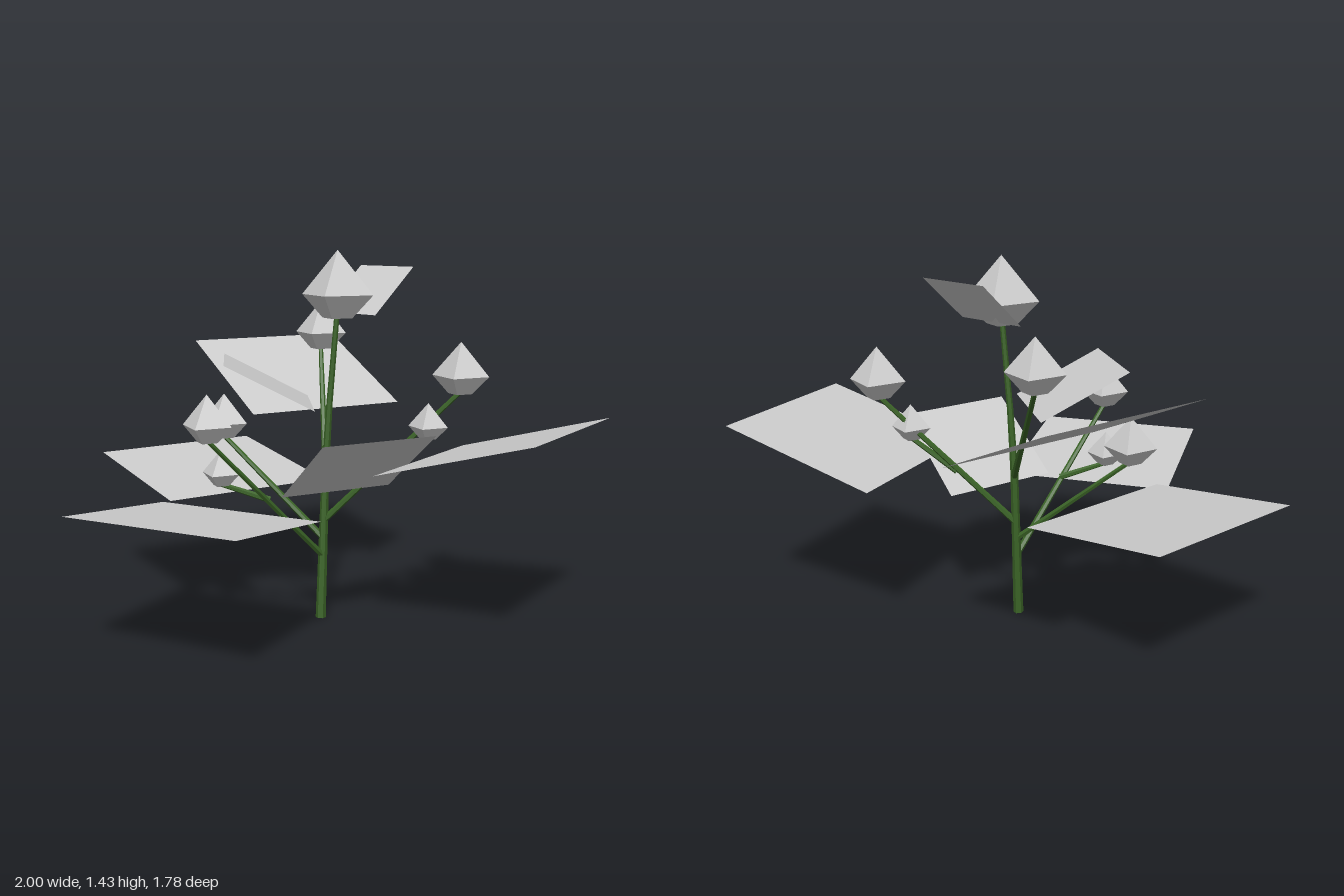
import * as THREE from 'three';

const V = (p) => new THREE.Vector3(...p);

export function createModel() {
  const plant = new THREE.Group();
  plant.name = 'floweringPlant';

  const stemGreen = new THREE.MeshStandardMaterial({ color: 0x3a6326 });
  stemGreen.name = 'stemGreen';
  stemGreen.flatShading = true;
  const paleGrey = new THREE.MeshStandardMaterial({ color: 0xcccccc, side: THREE.DoubleSide });
  paleGrey.name = 'paleGrey';
  paleGrey.flatShading = true;

  const add = (name, geometry, material) => {
    const mesh = new THREE.Mesh(geometry, material);
    mesh.name = name;
    plant.add(mesh);
    return mesh;
  };

  // Tapered straight stalk between two points
  const stalk = (name, from, to, r0, r1) => {
    const a = V(from), b = V(to), d = b.clone().sub(a);
    const mesh = add(name, new THREE.CylinderGeometry(r1, r0, d.length(), 6), stemGreen);
    mesh.position.copy(a).add(b).multiplyScalar(0.5);
    mesh.quaternion.setFromUnitVectors(new THREE.Vector3(0, 1, 0), d.normalize());
  };

  // Main stem with a slight bend
  const spine = [[0.035, 0, 0.015], [0.06, 0.6, 0.003], [0.073, 0.85, 0.01], [0.093, 1.2, 0.033]];
  const radii = [0.02, 0.015, 0.012, 0.01];
  for (let i = 0; i < 3; i++) stalk('mainStem', spine[i], spine[i + 1], radii[i], radii[i + 1]);

  // Four-sided buds: tall point above, short cut-off taper below
  const profile = [[0, -0.87], [0.42, -0.87], [1, 0], [0, 1.66]];
  const bud = ([x, y, z], w) => {
    const points = profile.map(([r, h]) => new THREE.Vector2(r * w * Math.SQRT2, h * w));
    const geometry = new THREE.LatheGeometry(points, 4, Math.PI / 4);
    add('bud', geometry, paleGrey).position.set(x, y, z);
  };
  bud([0.095, 1.262, 0.03], 0.1);

  // Side branches: root, bud centre, bud half width
  const branches = [
    [[0.06, 0.58, 0.003], [0.215, 1.085, -0.375], 0.077],
    [[0.052, 0.39, 0.007], [0.49, 0.963, 0.275], 0.077],
    [[0.045, 0.25, 0.01], [-0.463, 0.818, 0.13], 0.068],
    [[0.048, 0.32, 0.009], [-0.225, 0.741, -0.347], 0.07],
    [[0.24, 0.6, 0.13], [0.377, 0.772, 0.235], 0.054],
    [[-0.2, 0.51, 0.07], [-0.36, 0.608, -0.02], 0.053],
  ];
  for (const [root, centre, w] of branches) {
    const tip = [centre[0], centre[1] - 0.8 * w, centre[2]];
    stalk('branch', root, tip, 0.013, 0.009);
    bud(centre, w);
  }

  // Flat leaves: two corners of the lower edge, then the raised corner beside the first
  const leaves = [
    [[-0.515, 0.486, -0.16], [0.18, 0.486, -0.27], [-0.615, 0.571, -0.785]],
    [[-0.145, 0.784, -0.23], [0.535, 0.784, -0.29], [-0.193, 1.03, -0.785]],
    [[-0.105, 0.474, 0.315], [-0.53, 0.474, -0.207], [-0.573, 0.555, 0.698]],
    [[0.68, 0.635, 0], [0.075, 0.635, 0.37], [1, 0.806, 0.52]],
    [[0.08, 0.85, -0.21], [-0.067, 0.85, 0.183], [-0.227, 1.02, -0.33]],
    [[0.19, 1.19, 0.155], [0.107, 1.19, -0.12], [0.388, 1.363, 0.085]],
    [[0.295, 0.523, 0.08], [-0.168, 0.523, 0.105], [0.31, 0.77, 0.41]],
  ];
  for (const [a, b, c] of leaves) {
    const d = b.map((v, i) => v + c[i] - a[i]);
    const geometry = new THREE.BufferGeometry();
    geometry.setAttribute('position', new THREE.Float32BufferAttribute([...a, ...b, ...d, ...c], 3));
    const normal = V(b).sub(V(a)).cross(V(c).sub(V(a)));
    geometry.setIndex(normal.y > 0 ? [0, 1, 2, 0, 2, 3] : [0, 2, 1, 0, 3, 2]);
    geometry.computeVertexNormals();
    add('leaf', geometry, paleGrey);
  }

  return plant;
}
